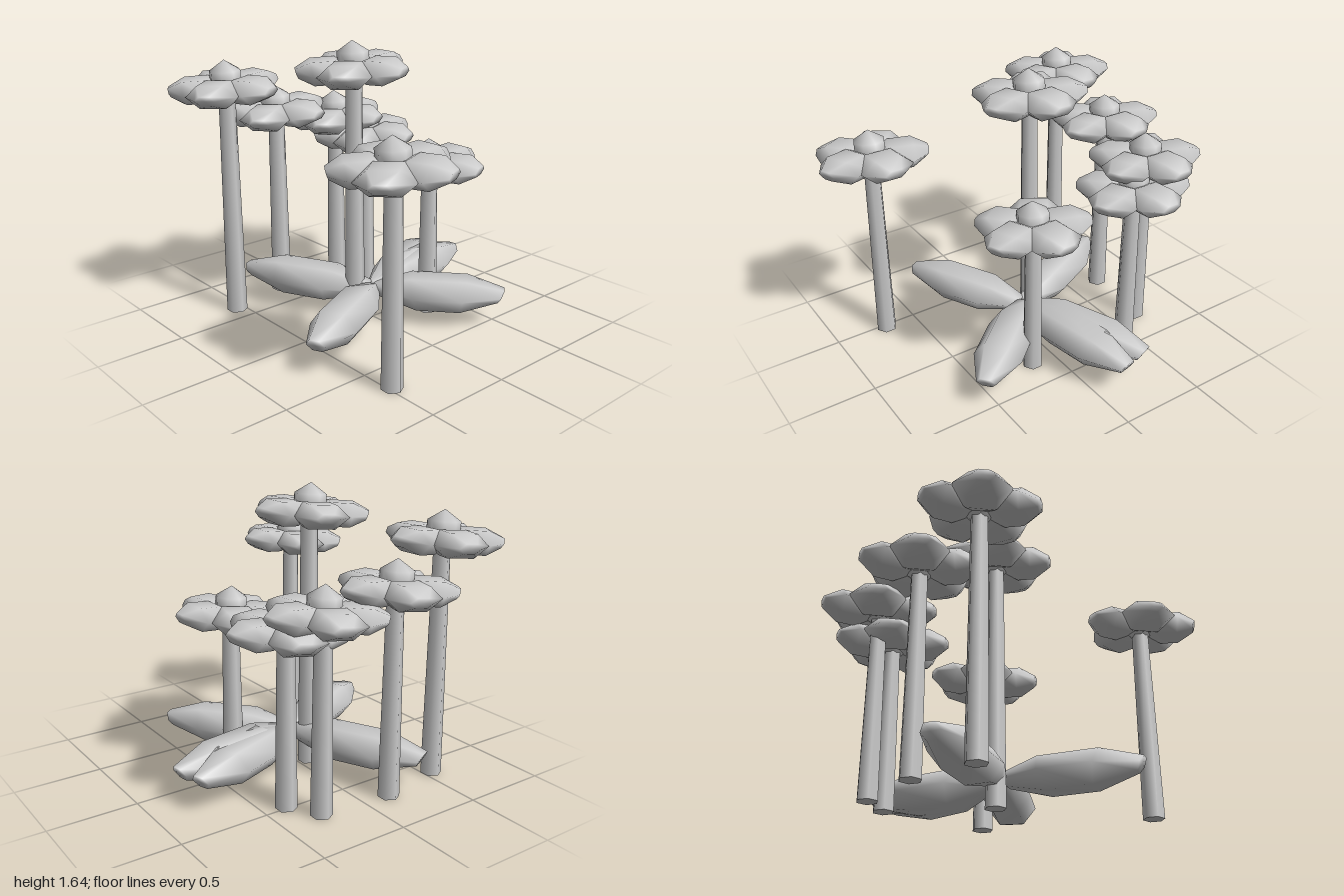
import * as THREE from 'three';
import { mergeVertices } from 'three/addons/utils/BufferGeometryUtils.js';

const material = new THREE.MeshStandardMaterial({ color: 0xcccccc });

// Blunt six-sided pod lying along x, used for petals and leaves
function podGeometry(halfLength, halfHeight, halfWidth) {
  const geo = new THREE.CylinderGeometry(1, 1, 2, 6, 3).rotateZ(-Math.PI / 2);
  const p = geo.attributes.position;
  for (let i = 0; i < p.count; i++) {
    let x = p.getX(i), y = p.getY(i), z = p.getZ(i);
    if (Math.abs(x) > 0.9) { y *= 0.4; z *= 0.4; } else x *= 1.2;
    x *= 1 + 0.15 * y; // underside is a little shorter
    p.setXYZ(i, x * halfLength, y * halfHeight, z * halfWidth);
  }
  geo.deleteAttribute('normal');
  geo.deleteAttribute('uv');
  const smooth = mergeVertices(geo);
  smooth.computeVertexNormals();
  return smooth;
}

function addMesh(parent, name, geo) {
  const mesh = new THREE.Mesh(geo, material);
  mesh.name = name;
  parent.add(mesh);
  return mesh;
}

export function createModel() {
  const model = new THREE.Group();
  model.name = 'flowerPatch';

  const petalGeo = podGeometry(0.145, 0.075, 0.15);
  const budGeo = new THREE.SphereGeometry(1, 8, 3).scale(0.103, 0.12, 0.103);

  // Flowers: x, z and height of the head
  const flowers = [
    [-0.55, -0.62, 1.36], [-0.16, -0.70, 1.16], [0.265, -0.66, 1.08],
    [0.37, -0.49, 0.975], [-0.065, -0.085, 1.48], [0.31, 0.145, 0.91],
    [-0.48, 0.69, 1.16],
  ];
  for (const [x, z, y] of flowers) {
    const flower = new THREE.Group();
    flower.name = 'flower';
    flower.position.set(x, 0, z);
    model.add(flower);

    addMesh(flower, 'stem', new THREE.CylinderGeometry(0.047, 0.06, y, 6).translate(0, y / 2, 0));

    // Slightly tilted head with five petals around a bud
    const head = new THREE.Group();
    head.name = 'flowerHead';
    head.position.y = y;
    head.rotation.z = 0.07;
    flower.add(head);
    for (let i = 0; i < 5; i++) {
      const angle = (i * Math.PI * 2) / 5;
      const petal = addMesh(head, 'petal', petalGeo);
      petal.position.set(0.17 * Math.cos(angle), 0, -0.17 * Math.sin(angle));
      petal.rotation.y = angle;
    }
    addMesh(head, 'bud', budGeo).position.y = 0.04;
  }

  // Leaves spreading from the middle: direction of the tip in x and z
  const leaves = [[-0.70, 0.35], [0.49, 0.57], [0.81, -0.14], [0.77, -0.29], [-0.36, -0.74]];
  for (const [x, z] of leaves) {
    const length = Math.hypot(x, z);
    const leaf = addMesh(model, 'leaf', podGeometry(length * 0.48, 0.11, 0.14));
    leaf.position.set(x * 0.52, 0.18, z * 0.52);
    leaf.rotation.y = Math.atan2(-z, x);
  }
  return model;
}
